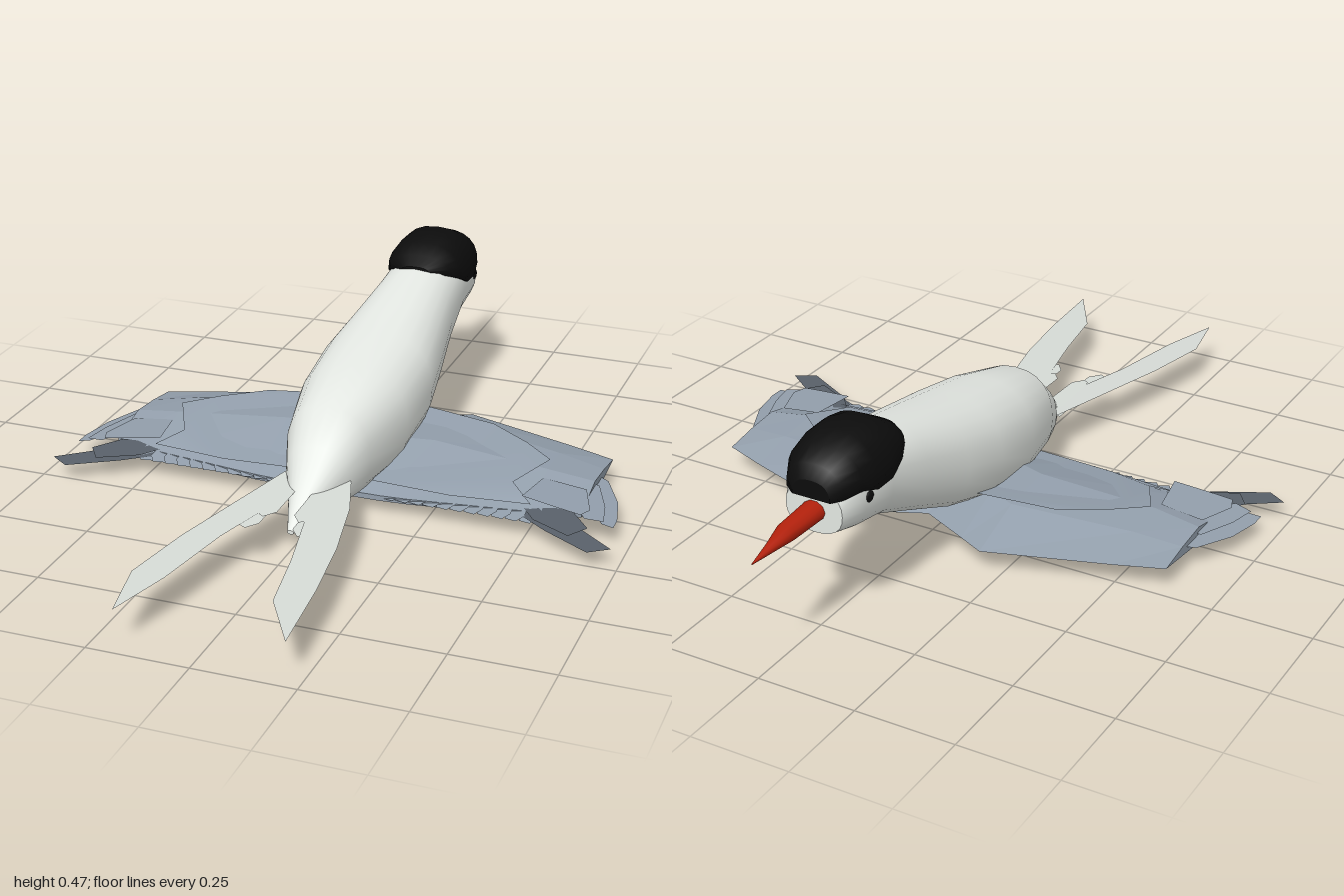
import * as THREE from 'three';

const V = (x, y, z) => new THREE.Vector3(x, y, z);

// Skin a list of equal-length rings, close both ends, and face it outward.
function loft(rings, smooth) {
  const n = rings[0].length, pts = rings.flat(), idx = [];
  for (let i = 0; i < rings.length - 1; i++) {
    for (let j = 0; j < n; j++) {
      const a = i * n + j, b = i * n + (j + 1) % n;
      idx.push(a, b, a + n, b, b + n, a + n);
    }
  }
  [[0, 1], [rings.length - 1, 0]].forEach(([r, flip]) => {
    const c = pts.length;
    pts.push(rings[r].reduce((s, p) => s.add(p), V(0, 0, 0)).divideScalar(n));
    const o = pts.length;
    rings[r].forEach(p => pts.push(p.clone()));
    for (let j = 0; j < n; j++) {
      const a = o + j, b = o + (j + 1) % n;
      if (flip) idx.push(c, b, a); else idx.push(c, a, b);
    }
  });
  let vol = 0;
  for (let i = 0; i < idx.length; i += 3) {
    vol += pts[idx[i]].dot(pts[idx[i + 1]].clone().cross(pts[idx[i + 2]]));
  }
  if (vol < 0) idx.reverse();
  let g = new THREE.BufferGeometry().setFromPoints(pts);
  g.setIndex(idx);
  if (!smooth) g = g.toNonIndexed();
  g.computeVertexNormals();
  return g;
}

// Rounded cross-section at a given z
function oval(z, bottom, top, hw, n = 24, power = 0.85) {
  const soft = v => Math.sign(v) * Math.abs(v) ** power;
  return Array.from({ length: n }, (_, i) => {
    const a = i / n * Math.PI * 2;
    return V(hw * soft(Math.cos(a)), (top + bottom) / 2 + (top - bottom) / 2 * soft(Math.sin(a)), z);
  });
}

// Flat feather from an outline in x and z, with height given by a rule
function plate(outline, height, side = 1) {
  const shape = new THREE.Shape(outline.map(([x, z]) => new THREE.Vector2(x * side, -z)));
  const g = new THREE.ShapeGeometry(shape).rotateX(-Math.PI / 2);
  const p = g.attributes.position;
  for (let i = 0; i < p.count; i++) p.setY(i, height(Math.abs(p.getX(i)), p.getZ(i)));
  g.computeVertexNormals();
  return g;
}

export function createModel() {
  const bird = new THREE.Group();
  bird.name = 'bird';
  const mat = (name, color, side = THREE.FrontSide) => {
    const m = new THREE.MeshStandardMaterial({ color, side });
    m.name = name;
    return m;
  };
  const white = mat('white plumage', 0xe6eae5);
  const pale = mat('pale tail feather', 0xd6dbd6, THREE.DoubleSide);
  const grey = mat('blue grey wing', 0x929eab, THREE.DoubleSide);
  const dark = mat('dark wing tip', 0x596069, THREE.DoubleSide);
  const black = mat('black', 0x0c0c0c);
  const red = mat('red beak', 0xb3210c);
  const add = (name, geo, m, parent = bird) => {
    const mesh = new THREE.Mesh(geo, m);
    mesh.name = name;
    parent.add(mesh);
    return mesh;
  };

  // Body and head: z, bottom, top, half width
  add('body', loft([
    [0.42, 0.048, 0.058, 0.008], [0.33, 0.042, 0.13, 0.042], [0.25, 0.035, 0.205, 0.08],
    [0.17, 0.03, 0.275, 0.11], [0, 0.03, 0.318, 0.147], [-0.17, 0.065, 0.348, 0.153],
    [-0.3, 0.1, 0.375, 0.135], [-0.45, 0.163, 0.405, 0.114], [-0.59, 0.222, 0.43, 0.103],
    [-0.7, 0.242, 0.425, 0.1], [-0.76, 0.255, 0.37, 0.075],
  ].map(s => oval(...s)), true), white);

  // Black crown: z, lower edge, top, half width
  add('crown', loft([
    [-0.475, 0.4, 0.416, 0.04], [-0.51, 0.388, 0.437, 0.085], [-0.55, 0.37, 0.46, 0.103],
    [-0.6, 0.345, 0.472, 0.108], [-0.66, 0.345, 0.47, 0.108], [-0.71, 0.362, 0.45, 0.1],
    [-0.755, 0.352, 0.425, 0.075], [-0.77, 0.345, 0.39, 0.05],
  ].map(([z, low, top, hw]) => Array.from({ length: 13 }, (_, i) => {
    const a = i / 12 * Math.PI;
    return V(hw * Math.sign(Math.cos(a)) * Math.abs(Math.cos(a)) ** 0.8,
      low + (top - low) * Math.sin(a) ** 0.8, z);
  })), true), black);

  // Beak
  add('beak', loft([
    [-0.74, 0.285, 0.337, 0.03], [-0.87, 0.289, 0.328, 0.027], [-0.93, 0.291, 0.312, 0.014],
    [-1, 0.294, 0.298, 0.001],
  ].map(s => oval(...s, 10, 1)), true), red);

  // Wing slab running under the body: x, lead z, lead y, top y, trail z, trail y, bottom y
  const half = [
    [0.62, -0.225, 0.062, 0.084, 0.08, 0.048, 0.038],
    [0.5, -0.27, 0.062, 0.1, 0.12, 0.048, 0.027],
    [0.2, -0.37, 0.062, 0.122, 0.155, 0.045, 0.005],
    [0.13, -0.335, 0.062, 0.125, 0.16, 0.045, 0.012],
  ];
  const stations = [
    ...half.map(([x, ...r]) => [-x, ...r]),
    [0, -0.27, 0.06, 0.11, 0.16, 0.045, 0.03],
    ...half.slice().reverse(),
  ];
  add('wings', loft(stations.map(([x, lz, ly, ty, tz, tr, by]) => {
    const c = tz - lz;
    return [V(x, ly, lz), V(x, ty - 0.008, lz + c * 0.3), V(x, ty, lz + c * 0.6),
      V(x, tr + 0.008, tz), V(x, tr - 0.006, tz), V(x, by, lz + c * 0.62)];
  }), false), grey);

  for (const side of [1, -1]) {
    const wing = new THREE.Group();
    wing.name = side > 0 ? 'leftWingFeathers' : 'rightWingFeathers';
    bird.add(wing);

    // Raised coverts on the upper wing
    add('coverts', plate([[0.1, -0.235], [0.31, -0.2], [0.42, -0.13], [0.5, -0.06],
      [0.44, 0.06], [0.5, 0.11], [0.3, 0.13], [0.1, 0.13]],
    (x, z) => 0.131 - 0.045 * Math.max(0, x - 0.15) - (z > 0.02 ? (z - 0.02) * 0.5 : 0), side), grey, wing);

    // Overlapping trailing feathers
    for (let i = 0; i < 11; i++) {
      const x = 0.13 + i * 0.035;
      add('trailingFeather', plate([[x, 0.05], [x + 0.045, 0.05], [x + 0.05, 0.145],
        [x + 0.035, 0.168], [x + 0.005, 0.158]],
      (px, z) => 0.062 - (z - 0.05) * 0.15 + (px - x) * 0.12, side), grey, wing);
    }

    // Outer pale feathers, stepped in height
    const outer = [
      [[0.6, -0.12], [0.64, -0.1], [0.69, 0], [0.71, 0.09], [0.71, 0.13], [0.68, 0.125], [0.6, 0]],
      [[0.58, -0.06], [0.63, -0.05], [0.67, 0.05], [0.685, 0.125], [0.64, 0.135], [0.58, 0.05]],
      [[0.5, 0], [0.61, 0], [0.645, 0.1], [0.63, 0.135], [0.57, 0.13], [0.48, 0.12]],
    ];
    outer.forEach((o, i) => add('outerFeather',
      plate(o, x => 0.066 + i * 0.007 - (x - 0.6) * 0.12, side), grey, wing));

    // Dark swept wing tips
    const tips = [
      [[0.44, 0.08], [0.56, 0.1], [0.73, 0.23], [0.68, 0.263], [0.56, 0.195], [0.47, 0.13]],
      [[0.46, 0.08], [0.6, 0.09], [0.655, 0.16], [0.62, 0.21], [0.52, 0.16]],
    ];
    tips.forEach((o, i) => add('wingTip',
      plate(o, (x, z) => 0.054 + i * 0.005 - (z - 0.1) * 0.04, side), dark, wing));

    // Forked tail: a long streamer and shorter inner feathers
    const streamer = side > 0
      ? [[0.06, 0.2], [0.09, 0.25], [0.135, 0.38], [0.175, 0.57], [0.2, 0.76], [0.217, 0.983],
        [0.125, 0.83], [0.095, 0.65], [0.06, 0.49], [0.03, 0.36]]
      : [[0.06, 0.2], [0.085, 0.25], [0.13, 0.42], [0.185, 0.63], [0.22, 0.82], [0.187, 0.985],
        [0.14, 0.82], [0.1, 0.6], [0.06, 0.46], [0.03, 0.36]];
    add('tailStreamer', plate(streamer, (x, z) => 0.132 - z * 0.03 - (0.15 - x) * 0.03, side), pale, bird);
    [0.47, 0.53].forEach((end, i) => add('innerTailFeather',
      plate([[0.02 + i * 0.02, 0.25], [0.07 + i * 0.02, 0.25], [0.06 + i * 0.025, end],
        [0.045 + i * 0.02, end + 0.01], [0.022 + i * 0.02, end - 0.02]],
      (x, z) => 0.128 - i * 0.003 - z * 0.025, side), pale, bird));

    // Eye
    const eye = add('eye', new THREE.SphereGeometry(0.014, 12, 8), black);
    eye.scale.x = 0.4;
    eye.position.set(side * 0.1, 0.337, -0.685);
  }
  return bird;
}
